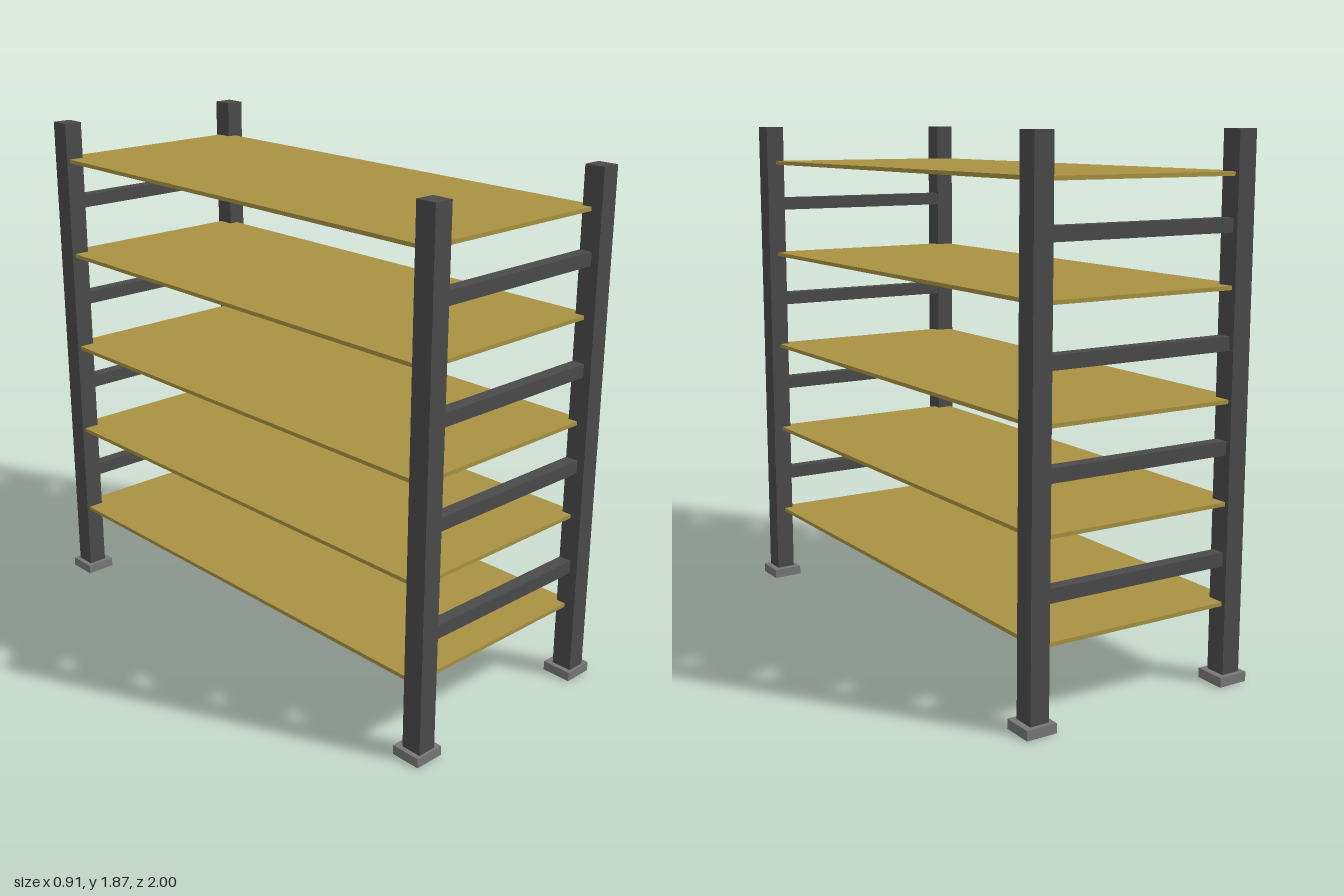
import * as THREE from 'three';

export function createModel() {
  const group = new THREE.Group();
  const steel = new THREE.MeshStandardMaterial({ color: 0x4a4a4a });
  const footGrey = new THREE.MeshStandardMaterial({ color: 0x777777 });
  const board = new THREE.MeshStandardMaterial({ color: 0xa89242 });

  const box = (name, material, size, position) => {
    const mesh = new THREE.Mesh(new THREE.BoxGeometry(...size), material);
    mesh.name = name;
    mesh.position.set(...position);
    group.add(mesh);
  };

  // Corner posts standing on square feet
  const height = 1.874, footHeight = 0.034;
  for (const [side, postX, footX] of [['Left', 0.394, 0.397], ['Right', -0.4, -0.397]]) {
    for (const [end, postZ, footZ] of [['front', 0.953, 0.945], ['back', -0.943, -0.943]]) {
      box(`${end}${side}Post`, steel, [0.071, height - footHeight, 0.077],
        [postX, (height + footHeight) / 2, postZ]);
      box(`${end}${side}Foot`, footGrey, [0.113, footHeight, 0.112],
        [footX, footHeight / 2, footZ]);
    }
  }

  // Thin shelves reaching into the posts
  [0.284, 0.634, 0.984, 1.362, 1.731].forEach((y, i) =>
    box(`shelf${i + 1}`, board, [0.817, 0.014, 1.916], [-0.015, y, -0.008]));

  // Cross rails between the posts at both ends
  [0.441, 0.826, 1.178, 1.566].forEach((y, i) => {
    box(`frontRail${i + 1}`, steel, [0.75, 0.048, 0.048], [-0.003, y, 0.939]);
    box(`backRail${i + 1}`, steel, [0.75, 0.048, 0.048], [-0.003, y, -0.939]);
  });

  return group;
}
